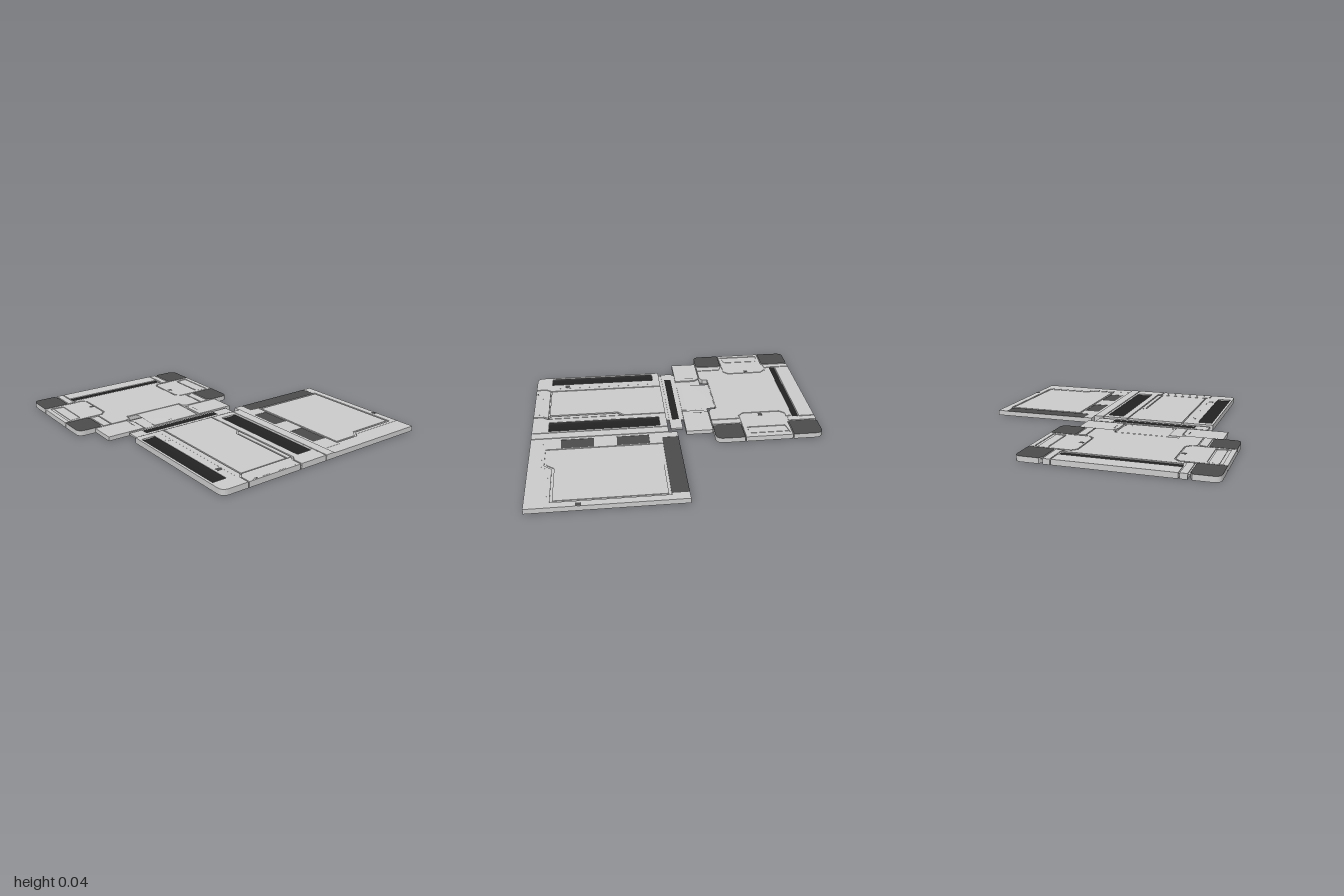
import * as THREE from 'three';
import { mergeGeometries } from 'three/addons/utils/BufferGeometryUtils.js';

const material = (color) => new THREE.MeshStandardMaterial({ color, side: THREE.DoubleSide });
const GREY = material(0xcccccc), DARK = material(0x4c4c4c), BLACK = material(0x222222);

// Closed outline from [x, z, cornerRadius] points
function outline(points, Type = THREE.Shape) {
  const path = new Type();
  const n = points.length;
  const at = (i) => new THREE.Vector2(points[(i + n) % n][0], -points[(i + n) % n][1]);
  points.forEach(([, , r = 0], i) => {
    const p = at(i);
    const a = at(i - 1).sub(p).setLength(r).add(p);
    const b = at(i + 1).sub(p).setLength(r).add(p);
    if (i === 0) path.moveTo(a.x, a.y); else path.lineTo(a.x, a.y);
    if (r) path.quadraticCurveTo(p.x, p.y, b.x, b.y);
  });
  path.closePath();
  return path;
}

const rect = (x0, z0, x1, z1) => [[x0, z0], [x1, z0], [x1, z1], [x0, z1]];

// Hollow plate, open underneath: flat top at y1, grey walls down to y0
function shell(group, name, points, y0, y1, mat = GREY, holes = []) {
  const shape = outline(points);
  shape.holes = holes.map((h) => outline(h, THREE.Path));
  const top = new THREE.ShapeGeometry(shape, 6).rotateX(-Math.PI / 2).translate(0, y1, 0).toNonIndexed();
  top.deleteAttribute('uv');
  const loops = shape.extractPoints(6);
  const corners = [];
  [loops.shape, ...loops.holes].forEach((loop, k) => {
    if (THREE.ShapeUtils.isClockWise(loop) === (k === 0)) loop.reverse();
    loop.forEach((a, i) => {
      const b = loop[(i + 1) % loop.length];
      corners.push(a.x, y0, -a.y, b.x, y0, -b.y, b.x, y1, -b.y);
      corners.push(a.x, y0, -a.y, b.x, y1, -b.y, a.x, y1, -a.y);
    });
  });
  const walls = new THREE.BufferGeometry();
  walls.setAttribute('position', new THREE.Float32BufferAttribute(corners, 3));
  walls.computeVertexNormals();
  const mesh = new THREE.Mesh(mergeGeometries([top, walls], true), [mat, GREY]);
  mesh.name = name;
  group.add(mesh);
}

// Sheet whose height follows a rule of u, v in -1..1
function curvedSheet(group, name, [x0, z0, x1, z1], mat, height) {
  const geo = new THREE.PlaneGeometry(2, 2, 12, 12).rotateX(-Math.PI / 2);
  const p = geo.attributes.position;
  for (let i = 0; i < p.count; i++) {
    const u = p.getX(i), v = p.getZ(i);
    p.setXYZ(i, x0 + (x1 - x0) * (u + 1) / 2, height(u, v), z0 + (z1 - z0) * (v + 1) / 2);
  }
  geo.computeVertexNormals();
  const mesh = new THREE.Mesh(geo, mat);
  mesh.name = name;
  group.add(mesh);
}

function section(parent, name) {
  const g = new THREE.Group();
  g.name = name;
  parent.add(g);
  return g;
}

const MID = 0.31; // mirror line of the pad plate and connector
const same = (pts) => pts;
const flip = (pts) => pts.map(([x, z, r]) => [x, 2 * MID - z, r]).reverse();
const both = (half) => [...half, ...flip(half)];

function padPlate(root) {
  const g = section(root, 'padPlate');
  const top = 0.036;
  const pads = [
    [[-1, -0.312, 0.05], [-0.795, -0.312], [-0.795, -0.135, 0.02], [-0.965, -0.135], [-1, -0.15]],
    [[-0.255, -0.312, 0.05], [-0.255, -0.15], [-0.285, -0.135], [-0.455, -0.135, 0.02], [-0.455, -0.312]],
  ];
  // Groove floor, stopping short of the corner pads
  shell(g, 'grooveFloor', both([[-0.995, -0.138], [-0.79, -0.138], [-0.79, -0.305], [-0.46, -0.305], [-0.46, -0.138], [-0.26, -0.138],
    [-0.26, 0.05], [-0.31, 0.09]]), 0.029, 0.031);
  shell(g, 'edgeStrip', rect(-1, -0.072, -0.89, 0.692), 0, top);
  shell(g, 'darkSlot', rect(-0.885, -0.07, -0.843, 0.69), 0.031, 0.0325, BLACK);
  shell(g, 'mainPanel', both([[-0.83, -0.062], [-0.797, -0.062], [-0.797, -0.025], [-0.762, 0.008], [-0.493, 0.008],
    [-0.455, -0.03], [-0.455, -0.062], [-0.255, -0.062], [-0.255, 0.05], [-0.275, 0.088], [-0.315, 0.088]]), 0, top);
  for (const m of [same, flip]) {
    pads.forEach((p) => shell(g, 'cornerPad', m(p), 0, top, DARK));
    shell(g, 'cornerBracket', m([[-1, -0.125], [-0.8, -0.125], [-0.805, -0.07], [-0.84, -0.08], [-1, -0.08]]), 0, top);
    shell(g, 'cornerBracket', m([[-0.255, -0.125], [-0.255, -0.07], [-0.43, -0.07], [-0.455, -0.125]]), 0, top);
    // Latch with a tapered recess
    const recess = m([[-0.775, -0.28], [-0.475, -0.28], [-0.49, -0.185], [-0.76, -0.185]]);
    shell(g, 'latch', m([[-0.788, -0.312], [-0.462, -0.312], [-0.462, -0.035], [-0.497, 0], [-0.757, 0], [-0.788, -0.03]]),
      0, top, GREY, [recess]);
    shell(g, 'latchInset', m([[-0.765, -0.26], [-0.485, -0.26], [-0.495, -0.195], [-0.755, -0.195]]), 0.006, 0.034);
  }
  shell(g, 'latchButton', rect(-0.63, -0.042, -0.6, -0.012), 0.034, top + 0.0006, DARK);
  shell(g, 'latchButton', rect(-0.655, 0.626, -0.625, 0.656), 0.034, top + 0.0006, DARK);
}

function connector(root) {
  const g = section(root, 'connector');
  shell(g, 'grooveFloor', rect(-0.248, 0.04, -0.065, 0.58), 0.022, 0.024);
  for (const m of [same, flip]) {
    shell(g, 'connectorWing', m([[-0.25, -0.19], [-0.063, -0.19], [-0.063, 0.082], [-0.21, 0.082], [-0.25, 0.05]]), 0.004, 0.033);
    shell(g, 'wingClip', m([[-0.205, 0.045], [-0.14, 0.045], [-0.14, 0.052], [-0.205, 0.052]]), 0.032, 0.0335, DARK);
  }
  shell(g, 'connectorNeck', both([[-0.063, 0.092], [-0.21, 0.092], [-0.25, 0.062]]), 0.004, 0.027);
  // Gently curved tab reaching over the seam
  curvedSheet(g, 'curvedTab', [-0.308, 0.098, -0.1, 0.457], GREY, (u, v) => 0.032 + 0.004 * Math.cos((u + 0.6) * 1.1) - 0.001 * v * v);
  shell(g, 'tabEnd', rect(-0.1, 0.1, -0.065, 0.455), 0.02, 0.031);
}

function hinge(root) {
  const g = section(root, 'hinge');
  shell(g, 'hingeBar', rect(-0.045, -0.14, 0.04, 0.665), 0.018, 0.03);
  shell(g, 'hingeStep', rect(-0.063, -0.02, 0.062, 0.655), 0.018, 0.026);
  shell(g, 'hingeSlot', rect(-0.03, -0.02, 0.02, 0.573), 0.03, 0.031, BLACK);
}

function troughPlate(root) {
  const g = section(root, 'troughPlate');
  const top = 0.039;
  const troughs = [[0.112, -0.1, 0.885, 0.015], [0.112, 0.567, 0.885, 0.665]];
  const holes = troughs.map((t) => rect(...t));
  shell(g, 'grooveFloor', [[0.065, -0.18], [0.995, -0.18], [0.995, 0.675, 0.05], [0.065, 0.675]], 0.025, 0.027);
  shell(g, 'rearEdge', rect(0.06, -0.19, 1, -0.124), 0, top);
  shell(g, 'rearRail', [[0.06, -0.118], [1, -0.118], [1, 0.085], [0.93, 0.085], [0.9, 0.06], [0.06, 0.06]], 0, top, GREY, [holes[0]]);
  shell(g, 'middleBeam', [[0.06, 0.068], [0.355, 0.068], [0.4, 0.11], [0.885, 0.11], [0.885, 0.46], [0.06, 0.46]], 0, top);
  shell(g, 'beamTrim', [[0.37, 0.068], [0.885, 0.068], [0.885, 0.098], [0.405, 0.098]], 0, 0.037);
  shell(g, 'endBracket', [[0.893, 0.075], [0.925, 0.095], [1, 0.095], [1, 0.49], [0.925, 0.49], [0.893, 0.462]], 0, top);
  shell(g, 'bracketInset', [[0.945, 0.125], [0.99, 0.125], [0.99, 0.46], [0.945, 0.42]], 0.036, top + 0.0005);
  shell(g, 'frontRail', [[0.06, 0.47], [0.89, 0.47], [0.925, 0.498], [1, 0.498], [1, 0.682, 0.05], [0.06, 0.682]], 0, top, GREY, [holes[1]]);
  shell(g, 'railLip', rect(0.112, 0.505, 0.885, 0.511), 0.036, top + 0.0005);
  for (const t of troughs) curvedSheet(g, 'trough', t, BLACK, (u, v) => top - 0.001 - 0.01 * Math.sqrt(1 - 0.98 * v * v));
  shell(g, 'button', rect(0.75, 0.515, 0.785, 0.55), 0.036, top + 0.0008, DARK);
  shell(g, 'button', rect(0.2, 0.515, 0.235, 0.55), 0.036, top + 0.0008);
  shell(g, 'button', rect(0.98, 0.42, 0.992, 0.44), 0.036, top + 0.0008, DARK);
}

function panelPlate(root) {
  const g = section(root, 'panelPlate');
  const top = 0.035;
  const vents = [0.2, 0.575].map((x) => rect(x, -0.315, x + 0.22, -0.21));
  shell(g, 'grooveFloor', rect(0.112, -0.935, 0.995, -0.195), 0.028, 0.03, GREY, vents);
  // Frame around the panel, open on the side of the dark bar
  shell(g, 'frame', [[0, -0.94], [1, -0.94], [1, -0.19], [0, -0.19], [0, -0.25], [0.11, -0.25], [0.115, -0.322], [0.895, -0.322],
    [0.895, -0.508], [0.845, -0.548], [0.845, -0.89], [0.11, -0.89], [0.11, -0.875], [0, -0.875]], 0, top, GREY, vents);
  shell(g, 'frameRidge', [[0.865, -0.93], [0.87, -0.93], [0.87, -0.555], [0.918, -0.515], [0.918, -0.2], [0.913, -0.2],
    [0.913, -0.512], [0.865, -0.552]], 0.034, top + 0.0006);
  shell(g, 'panel', [[0.128, -0.876], [0.83, -0.876], [0.83, -0.542], [0.88, -0.502], [0.88, -0.335], [0.128, -0.335]], 0, top);
  shell(g, 'darkBar', rect(0, -0.875, 0.112, -0.25), 0, top - 0.001, DARK);
  vents.forEach((v) => shell(g, 'vent', v, 0.002, top - 0.002, DARK));
  shell(g, 'button', rect(0.658, -0.938, 0.692, -0.908), 0.034, top + 0.0008, DARK);
}

export function createModel() {
  const root = new THREE.Group();
  root.name = 'hingedPanelSet';
  padPlate(root);
  connector(root);
  hinge(root);
  troughPlate(root);
  panelPlate(root);
  return root;
}
